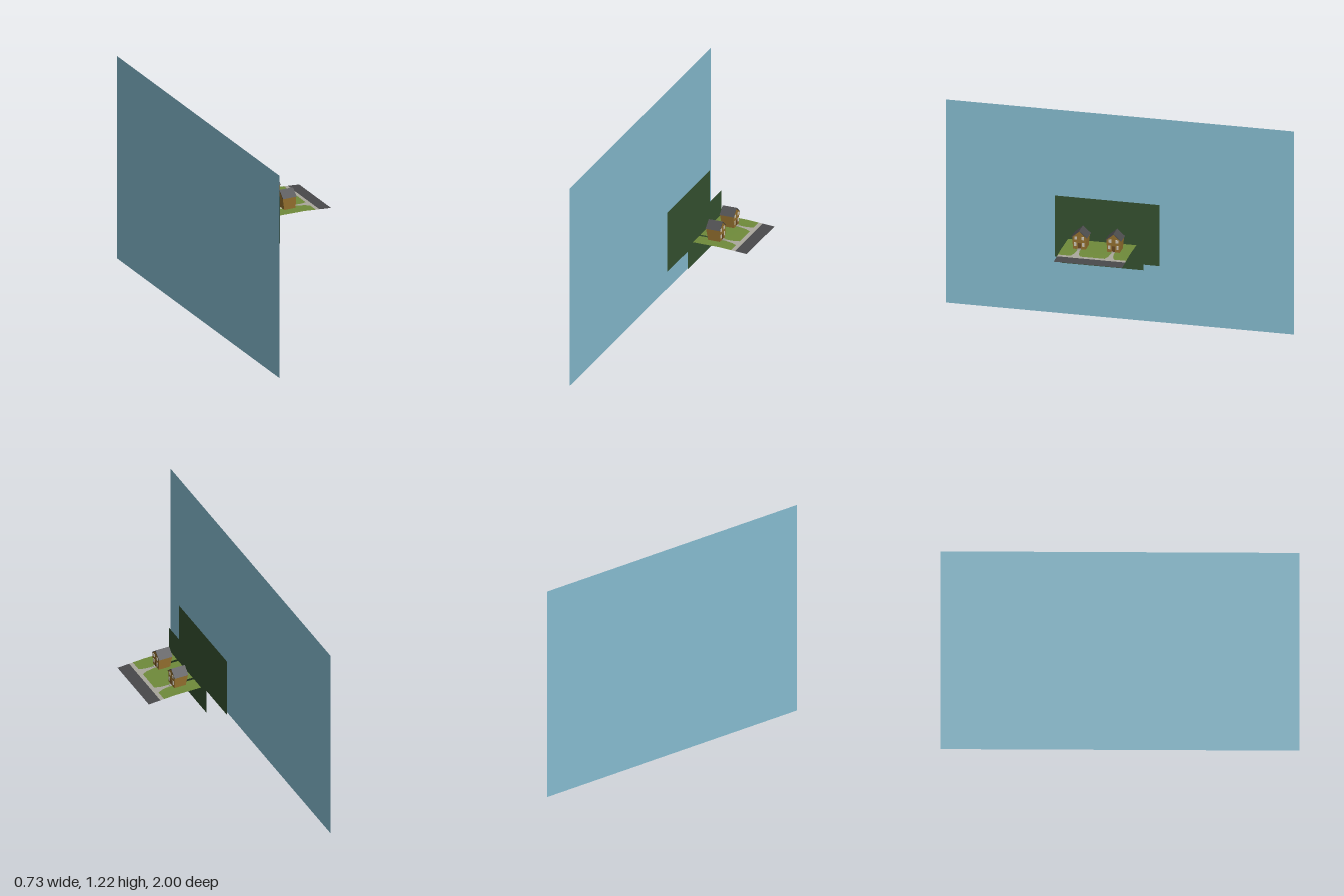
import * as THREE from 'three';

const mat = (name, color) => {
  const m = new THREE.MeshStandardMaterial({ color, side: THREE.DoubleSide });
  m.name = name;
  return m;
};

export function createModel() {
  const root = new THREE.Group();
  const sky = mat('sky blue', 0x87bdd1);
  const forest = mat('forest green', 0x365230);
  const grass = mat('grass green', 0x6f8a3a);
  const stone = mat('pale stone', 0xa9a69c);
  const asphalt = mat('asphalt', 0x48484a);
  const slate = mat('roof slate', 0x4b4b4d);
  const wood = mat('warm timber', 0x94702f);
  const glass = mat('window grey', 0xcfc8b8);
  const doorMat = mat('door brown', 0x6b4a22);

  const add = (parent, name, geometry, material) => {
    const mesh = new THREE.Mesh(geometry, material);
    mesh.name = name;
    parent.add(mesh);
    return mesh;
  };

  // Upright backdrop sheets facing +x
  const sheet = (name, x, y0, y1, width, material) => {
    const g = new THREE.PlaneGeometry(width, y1 - y0).rotateY(Math.PI / 2);
    add(root, name, g, material).position.set(x, (y0 + y1) / 2, 0);
  };
  sheet('skyBackdrop', -0.365, 0, 1.215, 2, sky);
  sheet('farHedge', -0.07, 0.455, 0.82, 0.6, forest);
  sheet('nearHedge', 0.026, 0.46, 0.742, 0.468, forest);

  // Thin ground pieces from (x, z) outlines, dipping gently towards the road
  const groundY = x => x < 0.2 ? 0.612 - (x - 0.04) * 0.006 : 0.611 - (x - 0.2) * 0.07;
  const ground = (name, outline, material, drop = 0) => {
    const shape = new THREE.Shape(outline.map(([x, z]) => new THREE.Vector2(x, -z)));
    const g = new THREE.ShapeGeometry(shape).rotateX(-Math.PI / 2);
    const p = g.attributes.position;
    for (let i = 0; i < p.count; i++) p.setY(i, groundY(p.getX(i)) - drop);
    g.computeVertexNormals();
    add(root, name, g, material);
  };
  const edge = 0.196, houses = [-0.099, 0.097];
  // Lawn edge beside a garden path: narrow, then flaring at the pavement
  const lawnSide = (z, s) => [[0.04, z + s * 0.008], [0.2, z + s * 0.008], [0.24, z + s * 0.014], [0.27, z + s * 0.027]];
  const [zA, zB] = houses;
  ground('lawnBack', [[0.04, -edge], ...lawnSide(zA, -1), [0.27, -edge], [0.2, -edge]], grass);
  ground('lawnMiddle', [...lawnSide(zA, 1), ...lawnSide(zB, -1).reverse()], grass);
  ground('lawnFront', [...lawnSide(zB, 1), [0.27, edge], [0.2, edge], [0.04, edge]], grass);
  const strip = (name, x0, x1, material) =>
    ground(name, [[x0, -edge], [x1, -edge], [x1, edge], [x0, edge]], material);
  strip('pavement', 0.27, 0.293, stone);
  strip('road', 0.293, 0.365, asphalt);
  for (const z of houses) {
    ground('gardenPath', [...lawnSide(z, -1).slice(1), ...lawnSide(z, 1).slice(1).reverse()], stone);
  }

  // Extrudes a (z, y) outline along x; the rear leans outwards as it rises
  const FRONT = 0.176;
  const gableBlock = (outline, front) => {
    const shape = new THREE.Shape(outline.map(([z, y]) => new THREE.Vector2(z, y)));
    const g = new THREE.ExtrudeGeometry(shape, { depth: 1, bevelEnabled: false }).rotateY(Math.PI / 2);
    const p = g.attributes.position;
    for (let i = 0; i < p.count; i++) {
      const rise = Math.min(1, (p.getY(i) - 0.612) / 0.07);
      p.setX(i, p.getX(i) > 0.5 ? front : 0.105 - 0.012 * rise);
    }
    g.computeVertexNormals();
    return g;
  };
  const plate = (house, name, y, z, h, w, material) =>
    add(house, name, new THREE.BoxGeometry(0.003, h, w), material).position.set(FRONT + 0.001, y, z);

  for (const z of houses) {
    const house = new THREE.Group();
    house.name = 'house';
    house.position.z = z;
    add(house, 'walls', gableBlock(
      [[-0.036, 0.612], [0.036, 0.612], [0.041, 0.684], [0, 0.717], [-0.041, 0.684]], FRONT), wood);
    add(house, 'roof', gableBlock(
      [[-0.046, 0.682], [-0.041, 0.682], [0, 0.717], [0.041, 0.682], [0.046, 0.682], [0, 0.722]], 0.178), slate);
    // Front windows, door and step
    for (const s of [-1, 1]) {
      plate(house, 'upperWindow', 0.677, s * 0.02, 0.018, 0.015, glass);
      plate(house, 'lowerWindow', 0.64, s * 0.023, 0.022, 0.013, glass);
    }
    plate(house, 'door', 0.63, 0, 0.036, 0.016, doorMat);
    add(house, 'doorStep', new THREE.BoxGeometry(0.012, 0.006, 0.018), stone).position.set(0.183, 0.613, 0);
    add(house, 'frontPath', new THREE.BoxGeometry(0.015, 0.002, 0.016), stone).position.set(0.1945, 0.611, 0);
    root.add(house);
  }
  return root;
}
